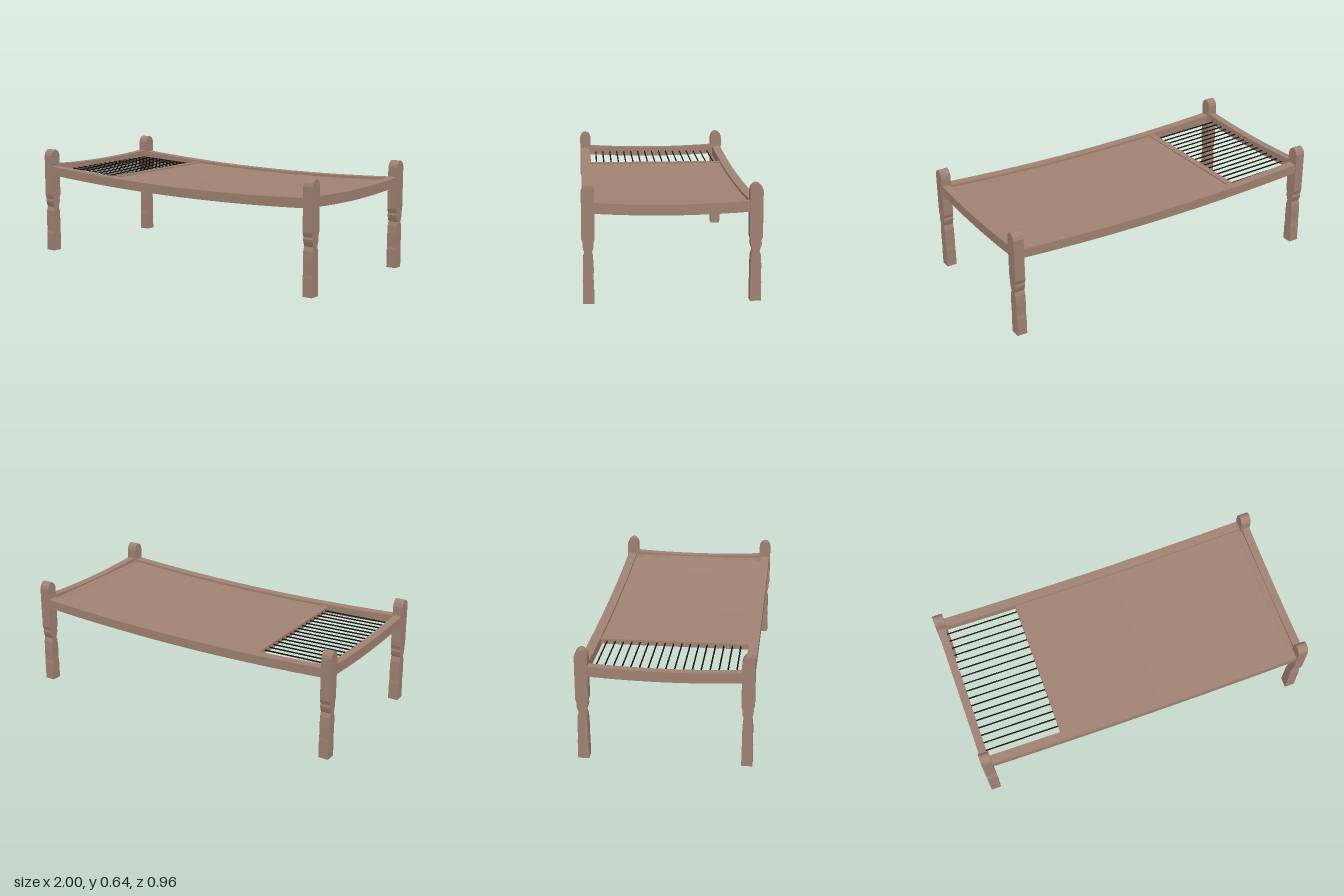
import * as THREE from 'three';

const wood = new THREE.MeshStandardMaterial({ color: 0xa08272 });
wood.name = 'brown wood';
const cord = new THREE.MeshStandardMaterial({ color: 0x16120f });
cord.name = 'dark cord';

// Height added by the lengthwise sag of the frame, zero at the middle
const sag = x => 0.031 * (x / 0.94) ** 2;

// A box with min and max corners, bent upward by a height rule
function bentBox(name, material, min, max, rise, segX = 1, segZ = 1) {
  const size = max.map((v, i) => v - min[i]);
  const geo = new THREE.BoxGeometry(...size, segX, 1, segZ);
  geo.translate(...min.map((v, i) => (v + max[i]) / 2));
  const p = geo.attributes.position;
  for (let i = 0; i < p.count; i++) p.setY(i, p.getY(i) + rise(p.getX(i), p.getZ(i)));
  geo.computeVertexNormals();
  const mesh = new THREE.Mesh(geo, material);
  mesh.name = name;
  return mesh;
}

// Flat post cut with a turned-looking outline and a rounded head
function legGeometry() {
  const half = [
    [0.03, 0], [0.03, 0.105], [0.027, 0.125], [0.029, 0.19], [0.026, 0.25],
    [0.018, 0.275], [0.027, 0.3], [0.03, 0.315], [0.027, 0.328], [0.035, 0.352],
    [0.035, 0.6], [0.028, 0.62], [0.014, 0.634], [0.005, 0.637],
  ];
  const outline = [...half, ...half.map(([w, y]) => [-w, y]).reverse()];
  const shape = new THREE.Shape(outline.map(([w, y]) => new THREE.Vector2(w, y)));
  const geo = new THREE.ExtrudeGeometry(shape, { depth: 0.06, bevelEnabled: false });
  geo.translate(0, 0, -0.03);
  geo.rotateY(Math.PI / 2);
  return geo;
}

export function createModel() {
  const model = new THREE.Group();
  model.name = 'cot';

  // Four legs
  const legGeo = legGeometry();
  for (const sx of [-1, 1]) for (const sz of [-1, 1]) {
    const leg = new THREE.Mesh(legGeo, wood);
    leg.name = (sz > 0 ? 'front' : 'back') + (sx > 0 ? 'LeftLeg' : 'RightLeg');
    leg.position.set(sx * 0.97, 0, sz * 0.445);
    model.add(leg);
  }

  // Long side rails, sagging to the middle
  for (const s of [-1, 1]) {
    const z = s * 0.447;
    model.add(bentBox(s > 0 ? 'frontRail' : 'backRail', wood,
      [-0.95, 0.45, z - 0.027], [0.95, 0.504, z + 0.027], sag, 20));
  }

  // Short end rails, with a shallower sag
  const endSag = (x, z) => 0.014 * (z / 0.41) ** 2;
  for (const s of [-1, 1]) {
    const x = s * 0.972;
    model.add(bentBox(s > 0 ? 'leftEndRail' : 'rightEndRail', wood,
      [x - 0.023, 0.472, -0.42], [x + 0.023, 0.53, 0.42], endSag, 1, 12));
  }

  // Cross bars at both ends of the woven sheet
  model.add(bentBox('crossBar', wood, [-0.512, 0.474, -0.425], [-0.474, 0.505, 0.425], () => 0));
  model.add(bentBox('endBar', wood, [0.914, 0.49, -0.425], [0.952, 0.521, 0.425], () => 0));

  // Woven sheet filling most of the frame
  model.add(bentBox('wovenSheet', wood,
    [-0.476, 0.48, -0.425], [0.916, 0.49, 0.425], sag, 20));

  // Tension cords between the sheet and the end rail
  const cords = new THREE.Group();
  cords.name = 'tensionCords';
  const from = new THREE.Vector3(-0.955, 0.502, 0), to = new THREE.Vector3(-0.508, 0.49, 0);
  const cordGeo = new THREE.TubeGeometry(new THREE.LineCurve3(from, to), 1, 0.0042, 6);
  for (let i = 0; i < 17; i++) {
    const line = new THREE.Mesh(cordGeo, cord);
    line.name = 'cord';
    line.position.z = -0.385 + i * 0.0475;
    cords.add(line);
  }
  model.add(cords);

  return model;
}
